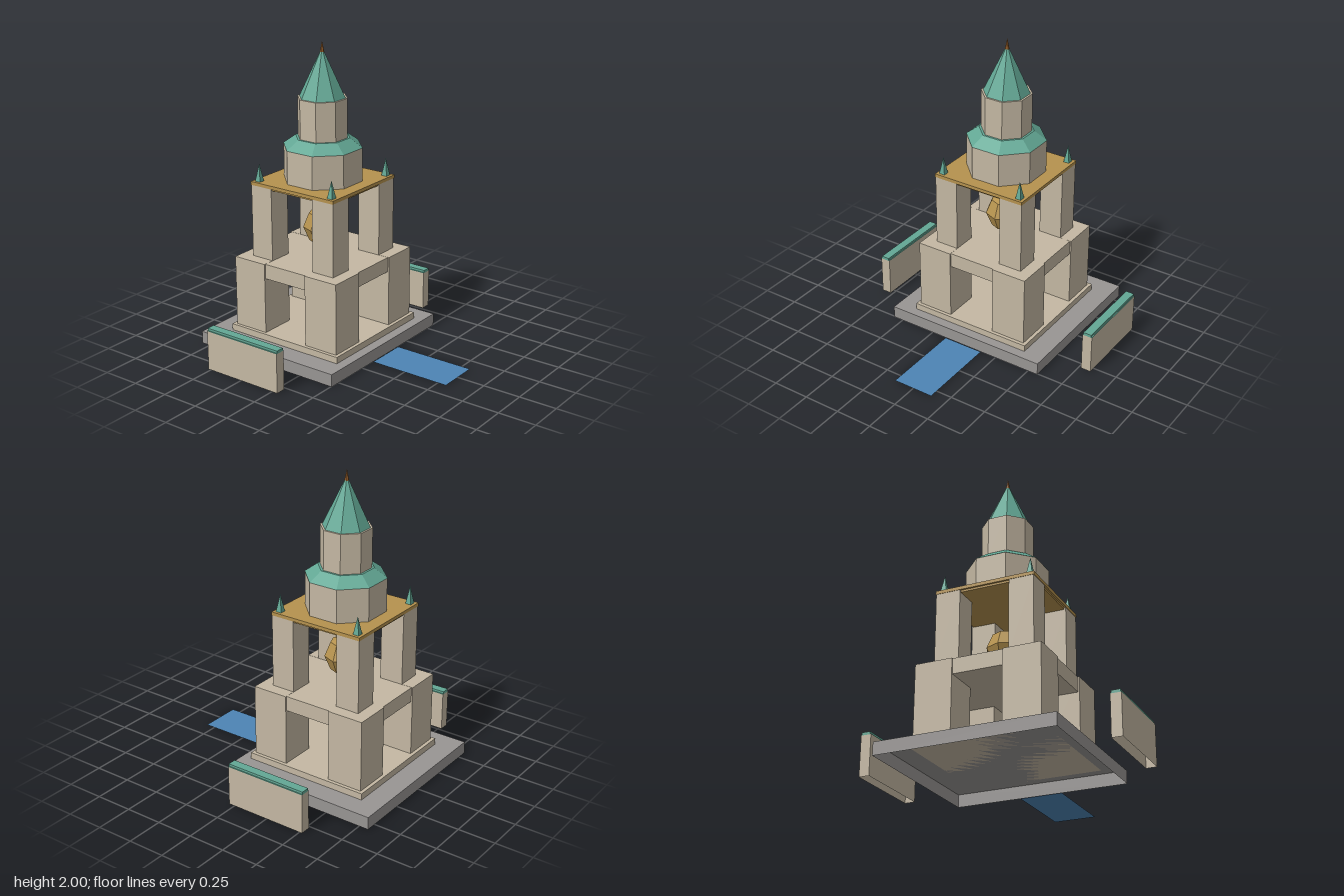
import * as THREE from 'three';

const mat = (name, color, extra = {}) => {
  const m = new THREE.MeshStandardMaterial({ color, flatShading: true, ...extra });
  m.name = name;
  return m;
};

export function createModel() {
  const model = new THREE.Group();
  model.name = 'bellTower';
  const both = { side: THREE.DoubleSide };
  const stone = mat('stone', 0xc4b8a3, both);
  const grey = mat('plinthGrey', 0x989593, both);
  const gold = mat('gold', 0xb5924e);
  const copper = mat('greenCopper', 0x63a895);
  const bronze = mat('bronze', 0xa8692e);
  const blue = mat('waterBlue', 0x4d84b4, both);

  // Tower parts share one vertical axis, set back from the path
  const tower = new THREE.Group();
  tower.name = 'tower';
  tower.position.z = -0.24;
  model.add(tower);

  const add = (parent, name, geo, material, x = 0, y = 0, z = 0) => {
    const mesh = new THREE.Mesh(geo, material);
    mesh.name = name;
    mesh.position.set(x, y, z);
    parent.add(mesh);
    return mesh;
  };
  // Box given by its bottom and top heights; open leaves out the underside
  const block = (parent, name, material, w, d, y0, y1, x = 0, z = 0, open = false) => {
    const geo = new THREE.BoxGeometry(w, y1 - y0, d);
    if (open) {
      const index = Array.from(geo.index.array);
      index.splice(18, 6);
      geo.setIndex(index);
      geo.clearGroups();
    }
    return add(parent, name, geo, material, x, (y0 + y1) / 2, z);
  };
  // Eight-sided (or n-sided) drum with flats facing front; radii are to the flats
  const drum = (name, material, bottom, top, y0, y1, x = 0, z = 0, n = 8) => {
    const k = 1 / Math.cos(Math.PI / n);
    const geo = new THREE.CylinderGeometry(top * k, bottom * k, y1 - y0, n);
    geo.rotateY(Math.PI / n);
    return add(tower, name, geo, material, x, (y0 + y1) / 2, z);
  };

  // Plinth and podium
  block(model, 'plinth', grey, 1.14, 1.07, 0, 0.083, 0, -0.279, true);
  block(tower, 'podium', stone, 0.86, 0.86, 0.083, 0.126);

  // Corner piers of both storeys, with a small spike over each corner
  for (const sx of [-1, 1]) {
    for (const sz of [-1, 1]) {
      block(tower, 'lowerPier', stone, 0.244, 0.244, 0.126, 0.6, sx * 0.285, sz * 0.285);
      block(tower, 'upperPier', stone, 0.162, 0.162, 0.6, 1.083, sx * 0.244, sz * 0.244);
      drum('cornerSpike', copper, 0.02, 0, 1.105, 1.22, sx * 0.288, sz * 0.288, 4);
    }
  }

  // Belfry floor between the piers
  block(tower, 'floorSlabX', stone, 0.796, 0.326, 0.5, 0.599);
  block(tower, 'floorSlabZ', stone, 0.326, 0.796, 0.5, 0.599);

  // Bell and the gold deck above it
  add(tower, 'bell', new THREE.SphereGeometry(0.132, 8, 4), gold, 0, 0.78, 0);
  block(tower, 'deck', gold, 0.656, 0.656, 1.083, 1.105);
  block(tower, 'deckCeiling', gold, 0.63, 0.63, 1.07, 1.084);

  // Stacked octagonal lantern and spire
  drum('lowerDrum', stone, 0.24, 0.24, 1.105, 1.325);
  drum('skirtRoof', copper, 0.241, 0.165, 1.325, 1.385);
  drum('upperDrum', stone, 0.151, 0.151, 1.385, 1.642);
  drum('spire', copper, 0.139, 0, 1.642, 1.96);
  drum('finial', bronze, 0.018, 0, 1.905, 2.0);

  // Free-standing side walls with copper caps
  for (const sx of [-1, 1]) {
    const x = sx * 0.801;
    block(model, 'sideWall', stone, 0.068, 0.56, 0, 0.262, x, -0.239, true);
    block(model, 'wallCapBase', copper, 0.068, 0.56, 0.262, 0.266, x, -0.239);
    block(model, 'wallCap', copper, 0.056, 0.56, 0.266, 0.281, x, -0.239);
  }

  // Flat blue strip leading to the tower
  const strip = new THREE.PlaneGeometry(0.28, 0.55);
  strip.rotateX(-Math.PI / 2);
  add(model, 'waterStrip', strip, blue, 0, 0.003, 0.537);

  return model;
}
